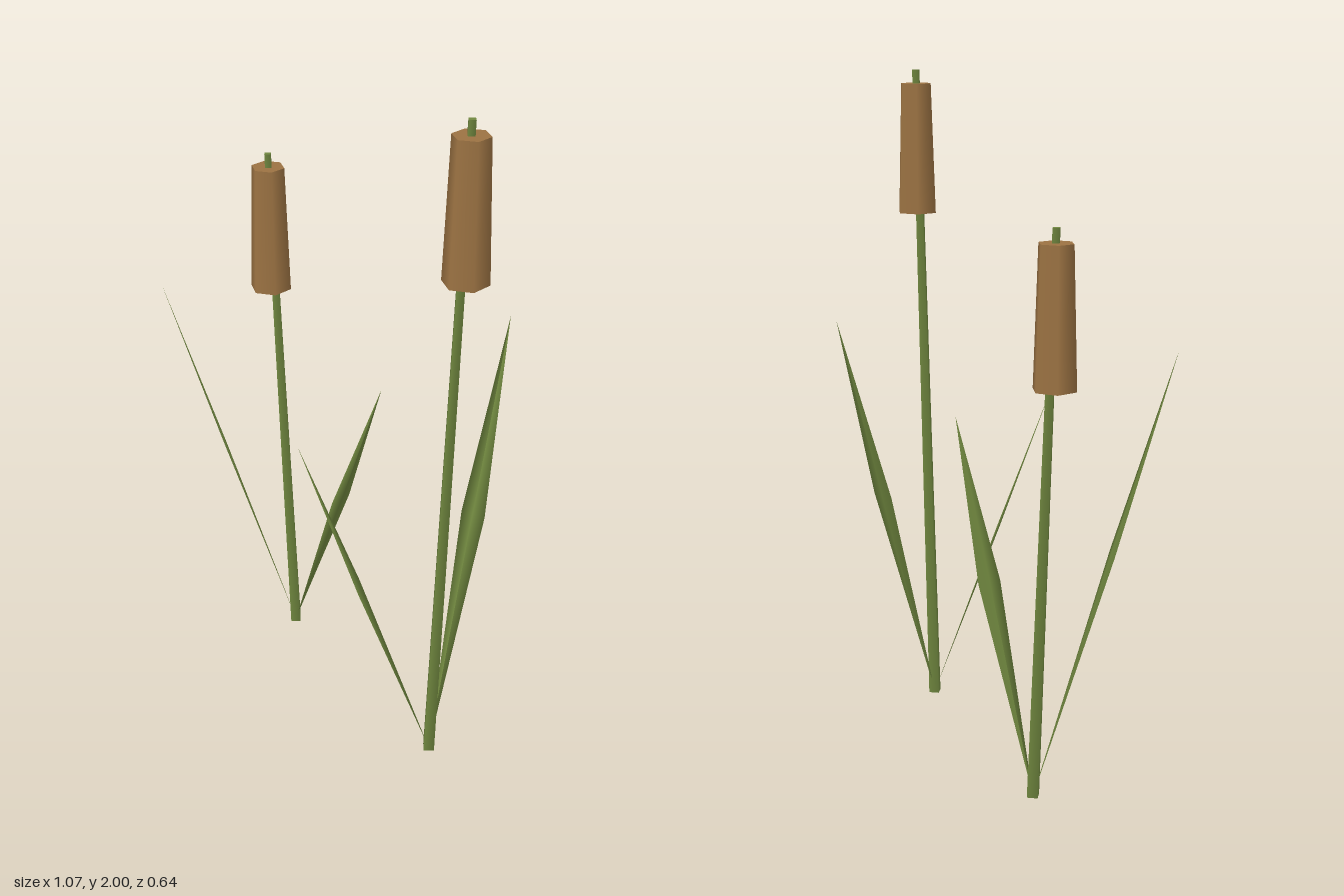
import * as THREE from 'three';

const V = (x, y, z) => new THREE.Vector3(x, y, z);

export function createModel() {
  const green = new THREE.MeshStandardMaterial({ color: 0x70873f });
  green.name = 'leafGreen';
  const brown = new THREE.MeshStandardMaterial({ color: 0x9c7343 });
  brown.name = 'seedBrown';

  const add = (group, name, geometry, material) => {
    const mesh = new THREE.Mesh(geometry, material);
    mesh.name = name;
    group.add(mesh);
    return mesh;
  };

  // Leaning four-sided stem: both ends stay level
  function stemGeometry(base, tip) {
    const h = tip.y - base.y;
    const geo = new THREE.CylinderGeometry(0.013, 0.022, h, 4);
    geo.translate(0, h / 2, 0);
    geo.applyMatrix4(new THREE.Matrix4().makeShear(0, 0, (tip.x - base.x) / h, (tip.z - base.z) / h, 0, 0));
    return geo.translate(base.x, base.y, base.z);
  }

  // Thin blade, widest just above the middle, pointed at both ends
  function leafGeometry(base, tip) {
    const profile = [[0.0001, 0], [1, 0.56], [0.0001, 1]].map(p => new THREE.Vector2(...p));
    const along = tip.clone().sub(base);
    const across = V(along.z, 0, -along.x).normalize();
    const thick = across.clone().cross(along).normalize();
    const matrix = new THREE.Matrix4().makeBasis(
      across.multiplyScalar(0.038), along, thick.multiplyScalar(0.004));
    matrix.setPosition(base);
    return new THREE.LatheGeometry(profile, 4).applyMatrix4(matrix);
  }

  const plants = [
    { name: 'shortReed', base: V(-0.343, 0, -0.095), tip: V(-0.424, 1.64, -0.095),
      leaves: [V(0.045, 1.04, -0.095), V(-0.535, 1.3, 0.237)] },
    { name: 'tallReed', base: V(0.406, 0, 0.057), tip: V(0.476, 2, 0.057),
      leaves: [V(0.125, 1.055, 0.316), V(0.328, 1.3, -0.32)] },
  ];

  const model = new THREE.Group();
  model.name = 'reeds';
  for (const { name, base, tip, leaves } of plants) {
    const plant = new THREE.Group();
    plant.name = name;
    add(plant, 'stem', stemGeometry(base, tip), green);
    // Upright six-sided seed head just below the stem tip
    add(plant, 'seedHead', new THREE.CylinderGeometry(0.05, 0.063, 0.386, 6), brown)
      .position.set(tip.x, tip.y - 0.233, tip.z);
    leaves.forEach((end, i) => add(plant, 'leaf' + (i + 1), leafGeometry(base, end), green));
    model.add(plant);
  }
  return model;
}
